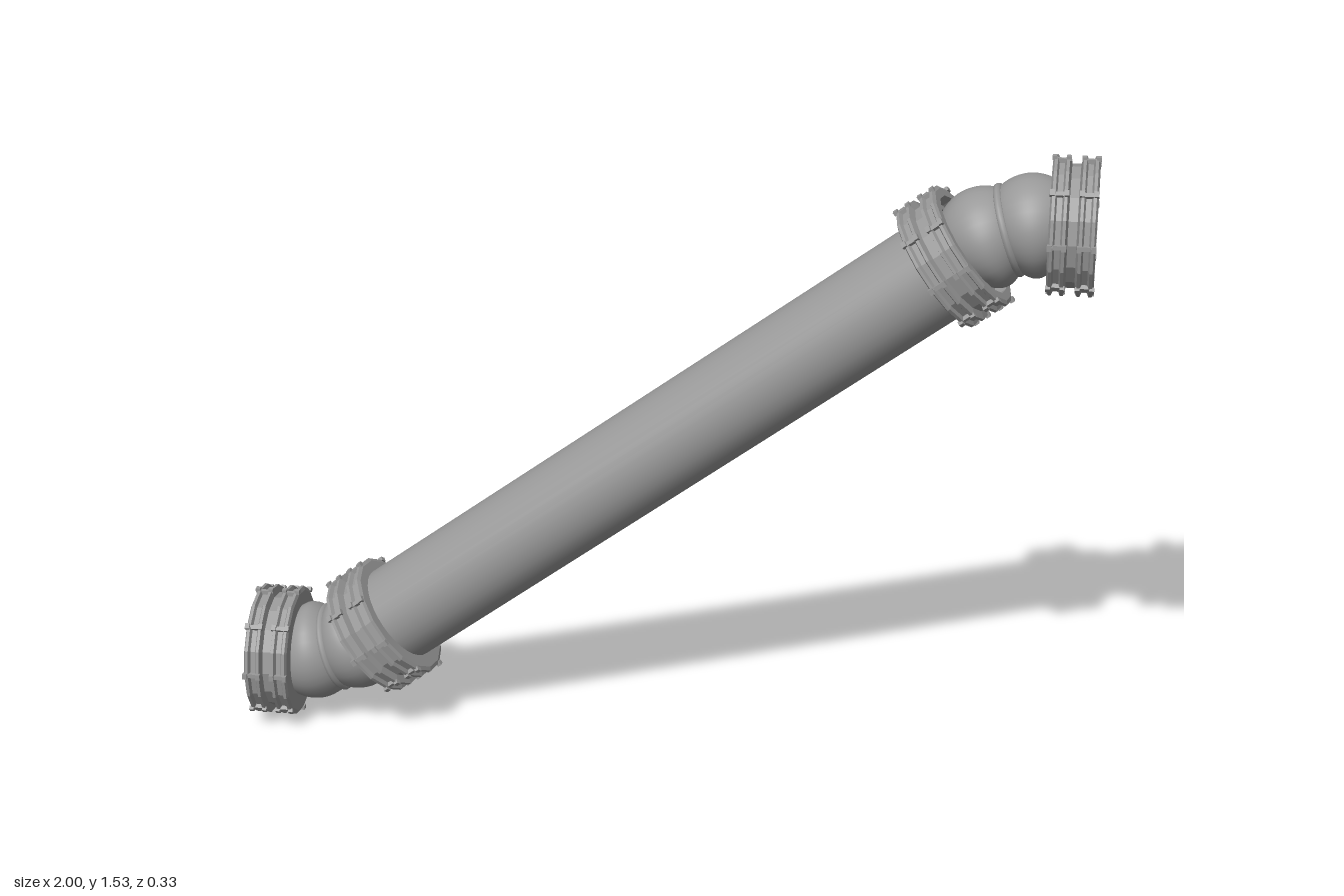
import * as THREE from 'three';

const TILT = Math.atan2(0.6, 0.8);   // slope of the main pipe
const GREY = 0x999999;
const smooth = new THREE.MeshStandardMaterial({ color: GREY });
const hollow = new THREE.MeshStandardMaterial({ color: GREY, side: THREE.DoubleSide });
const faceted = new THREE.MeshStandardMaterial({ color: GREY, flatShading: true });

function add(parent, geometry, material, name) {
  const mesh = new THREE.Mesh(geometry, material);
  mesh.name = name;
  parent.add(mesh);
  return mesh;
}

// Double-banded coupling along x, with a stepped bore and lugs round each band
function clamp(name) {
  const group = new THREE.Group();
  group.name = name;
  const profile = [
    [0.13, -0.053], [0.15, -0.053], [0.159, -0.049], [0.159, -0.042], [0.149, -0.038],
    [0.149, -0.026], [0.159, -0.022], [0.159, -0.015], [0.14, -0.01],
    [0.14, 0.01], [0.159, 0.015], [0.159, 0.022], [0.149, 0.026],
    [0.149, 0.038], [0.159, 0.042], [0.159, 0.049], [0.15, 0.053], [0.102, 0.053],
    [0.102, 0], [0.115, 0], [0.115, -0.025], [0.13, -0.025], [0.13, -0.053],
  ].map(([r, y]) => new THREE.Vector2(r, y));
  const ring = new THREE.LatheGeometry(profile, 16);
  ring.rotateZ(-Math.PI / 2);
  add(group, ring, faceted, 'bandedRing');

  for (let i = 0; i < 8; i++) {
    const a = i * Math.PI / 4;
    for (const x of [-0.033, 0.033]) {
      // bridge between the two ridges, with a small cap at each end
      const parts = [[0.036, 0.012, 0.01, 0, 0.152], [0.011, 0.01, 0.014, -0.016, 0.159], [0.011, 0.01, 0.014, 0.016, 0.159]];
      for (const [w, h, d, dx, r] of parts) {
        const box = new THREE.BoxGeometry(w, h, d);
        box.translate(x + dx, r, 0);
        box.rotateX(a);
        add(group, box, faceted, 'lug');
      }
    }
  }
  return group;
}

// Double-bulged elbow: rings swept along a curve, radius following the bulges
function elbow(curve) {
  const rows = 32, sides = 32, pos = [], index = [];
  for (let i = 0; i <= rows; i++) {
    const u = i / rows, c = curve.getPoint(u), t = curve.getTangent(u);
    const r = 0.098 + 0.022 * Math.pow(Math.abs(Math.sin(2 * Math.PI * u)), 0.8);
    for (let j = 0; j < sides; j++) {
      const a = j / sides * Math.PI * 2;
      pos.push(c.x - t.y * r * Math.cos(a), c.y + t.x * r * Math.cos(a), r * Math.sin(a));
      if (i === rows) continue;
      const k = (j + 1) % sides, p = i * sides + j, q = i * sides + k;
      index.push(p, p + sides, q, q, p + sides, q + sides);
    }
  }
  const g = new THREE.BufferGeometry();
  g.setAttribute('position', new THREE.Float32BufferAttribute(pos, 3));
  // corners run so that the faces look away from the path
  g.setIndex(index.reverse());
  g.computeVertexNormals();
  return g;
}

// Lower-left end, measured from the model's centre
function endAssembly(name) {
  const group = new THREE.Group();
  group.name = name;

  const outer = clamp('endClamp');
  outer.position.set(-0.945, -0.602, 0);
  group.add(outer);

  const inner = clamp('pipeClamp');
  inner.position.set(-0.68, -0.515, 0);
  inner.rotation.z = TILT;
  group.add(inner);

  const curve = new THREE.QuadraticBezierCurve3(
    new THREE.Vector3(-0.91, -0.602, 0),
    new THREE.Vector3(-0.797, -0.602, 0),
    new THREE.Vector3(-0.705, -0.533, 0));
  add(group, elbow(curve), hollow, 'elbow');

  // thin collar in the groove between the bulges
  const collar = new THREE.TorusGeometry(0.1, 0.01, 8, 32);
  collar.rotateY(Math.PI / 2);
  const mesh = add(group, collar, smooth, 'elbowCollar');
  mesh.position.copy(curve.getPoint(0.5));
  mesh.rotation.z = TILT / 2;
  return group;
}

export function createModel() {
  const model = new THREE.Group();
  model.name = 'pipe';
  const body = new THREE.Group();
  body.name = 'pipeRun';
  body.position.y = 0.77;
  model.add(body);

  const tube = new THREE.CylinderGeometry(0.12, 0.12, 1.7, 32, 1, true);
  tube.rotateZ(TILT - Math.PI / 2);
  add(body, tube, smooth, 'mainPipe');

  // the two ends are the same part turned half round
  body.add(endAssembly('lowerEnd'));
  const upper = endAssembly('upperEnd');
  upper.rotation.z = Math.PI;
  body.add(upper);
  return model;
}
